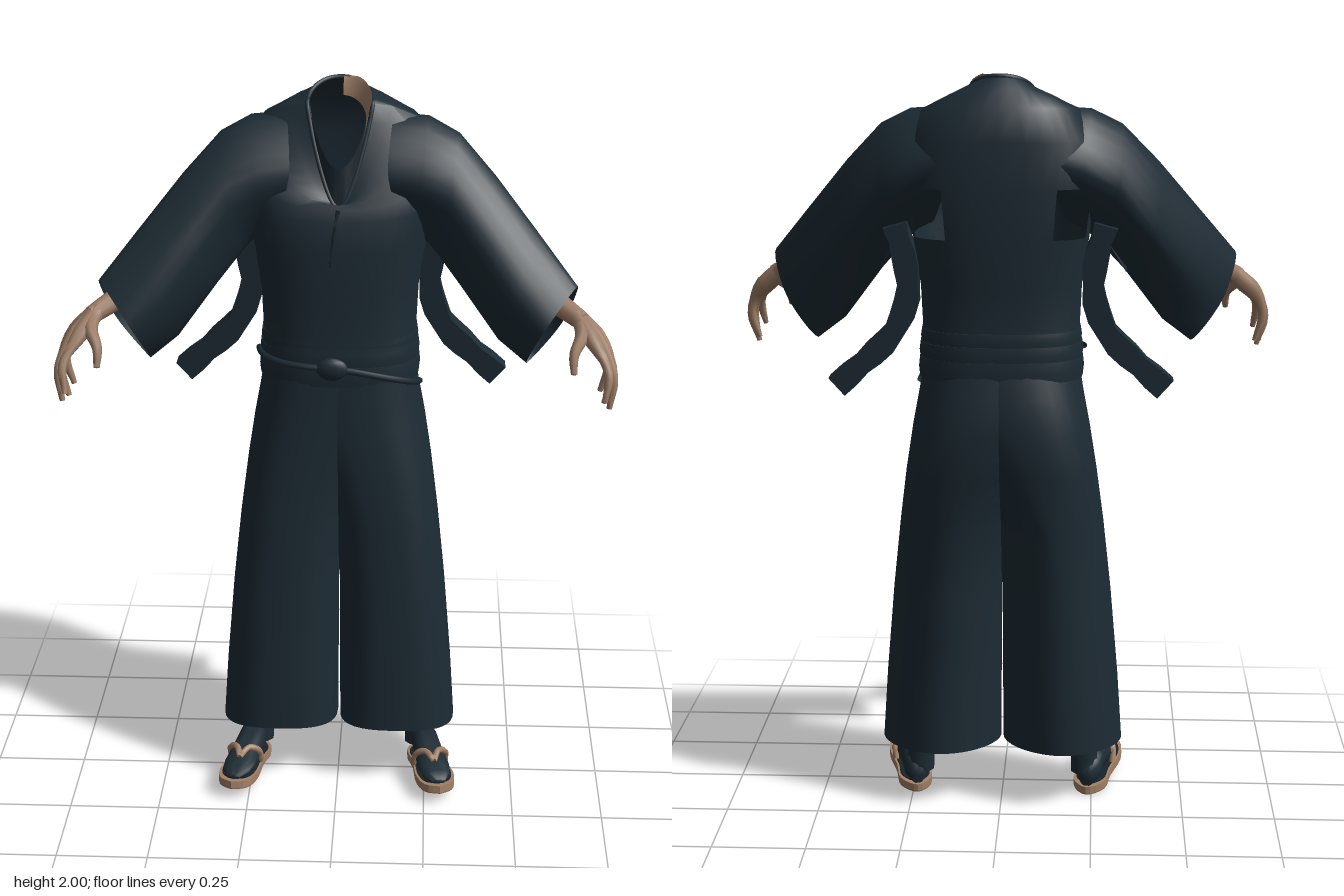
import * as THREE from 'three';
import { toCreasedNormals } from 'three/addons/utils/BufferGeometryUtils.js';

const material = (name, color) =>
  new THREE.MeshStandardMaterial({ name, color, side: THREE.DoubleSide });
const V = (x, y, z) => new THREE.Vector3(x, y, z);

// Skin a surface over rings of equal length; skip(i, j) leaves a hole
function loft(rings, { cap = false, skip = () => false, crease = 0.8, closed = true } = {}) {
  const n = rings[0].length, pos = [], index = [];
  rings.forEach(r => r.forEach(p => pos.push(p.x, p.y, p.z)));
  for (let i = 0; i < rings.length - 1; i++) {
    for (let j = 0; j < (closed ? n : n - 1); j++) {
      if (skip(i, j)) continue;
      const k = (j + 1) % n, a = i * n + j, b = i * n + k;
      index.push(a, a + n, b, b, a + n, b + n);
    }
  }
  if (cap) [0, rings.length - 1].forEach(e => {
    const c = rings[e].reduce((s, p) => s.add(p), V(0, 0, 0)).divideScalar(n);
    const id = pos.length / 3;
    pos.push(c.x, c.y, c.z);
    for (let j = 0; j < n; j++) {
      const a = e * n + j, b = e * n + (j + 1) % n;
      index.push(...(e ? [id, b, a] : [id, a, b]));
    }
  });
  const g = new THREE.BufferGeometry();
  g.setAttribute('position', new THREE.Float32BufferAttribute(pos, 3));
  g.setIndex(index);
  return toCreasedNormals(g, crease);
}

// Point on a rounded-square outline; p and back set the squareness of front and back,
// the front can dip and pinch into a V, the back can rise
const spow = (v, p) => Math.sign(v) * Math.abs(v) ** p;
function outline(a, { y, x = 0, rx, z, rz, dip = 0, rise = 0, pinch = 0, p = 0.75, back = p }) {
  const s = Math.sin(a), f = Math.max(0, s), b = Math.max(0, -s), e = s < 0 ? back : p;
  return V(x + rx * spow(Math.cos(a), e) * (1 - pinch * f), y - dip * f + rise * b, z + rz * spow(s, e));
}
const ring = (o, n = 36) =>
  Array.from({ length: n }, (_, j) => outline(j / n * Math.PI * 2, o));

// Round limb tapering along a curve
function limb(points, radii, sides = 10, steps = 12) {
  const curve = new THREE.CatmullRomCurve3(points.map(p => V(...p)));
  const f = curve.computeFrenetFrames(steps), rings = [];
  for (let i = 0; i <= steps; i++) {
    const u = i / steps * (radii.length - 1), k = Math.min(Math.floor(u), radii.length - 2);
    const r = THREE.MathUtils.lerp(radii[k], radii[k + 1], u - k), c = curve.getPoint(i / steps);
    rings.push(Array.from({ length: sides }, (_, j) => {
      const a = j / sides * Math.PI * 2;
      return c.clone().addScaledVector(f.normals[i], r * Math.cos(a))
        .addScaledVector(f.binormals[i], r * Math.sin(a));
    }));
  }
  return loft(rings, { cap: true, crease: 1.2 });
}

export function createModel() {
  const cloth = material('dark blue cloth', 0x1d2b34);
  const lining = material('shaded lining', 0x18232a);
  const skin = material('skin', 0x9c7c65);
  const straw = material('sandal straw', 0xa38166);
  const soleMat = material('sandal underside', 0x8a6b56);
  const model = new THREE.Group();
  model.name = 'robed figure';
  const add = (parent, name, geometry, mat) => {
    const m = new THREE.Mesh(geometry, mat);
    m.name = name;
    parent.add(m);
    return m;
  };

  // Robe body, with open slits below the armpits
  const rim = { y: 1.945, rx: 0.086, z: -0.1, rz: 0.1, dip: 0.255, rise: 0.049, pinch: 0.45, p: 0.95 };
  const body = [
    { y: 1.3, rx: 0.213, z: -0.11, rz: 0.155 },
    { y: 1.34, rx: 0.208, z: -0.11, rz: 0.152 },
    { y: 1.45, rx: 0.213, z: -0.114, rz: 0.156 },
    { y: 1.58, rx: 0.232, z: -0.12, rz: 0.163 },
    { y: 1.71, rx: 0.25, z: -0.125, rz: 0.16, dip: 0.05 },
    { y: 1.83, rx: 0.25, z: -0.13, rz: 0.152, dip: 0.14 },
    { y: 1.907, rx: 0.205, z: -0.126, rz: 0.142, dip: 0.205, rise: 0.01, pinch: 0.15, p: 0.85 },
    { y: 1.936, rx: 0.138, z: -0.114, rz: 0.122, dip: 0.24, rise: 0.028, pinch: 0.35, p: 0.9 },
    rim,
  ];
  add(model, 'robe body', loft(body.map(o => ring(o)), {
    skip: (i, j) => {
      const s = Math.sin((j + 0.5) / 36 * Math.PI * 2);
      return i === 3 && s < -0.4 && s > -0.82;
    },
  }), cloth);

  // Collar edge, inner collar layer and the overlap seam on the chest
  const rimCurve = new THREE.CatmullRomCurve3(ring(rim), true);
  add(model, 'collar', new THREE.TubeGeometry(rimCurve, 72, 0.006, 6, true), cloth);
  const inner = { ...rim, y: 1.935, rx: 0.078, rz: 0.085, dip: 0.145, rise: 0.045, pinch: 0.3 };
  add(model, 'inner collar', loft([rim, inner].map(o =>
    Array.from({ length: 19 }, (_, j) => outline(j / 18 * Math.PI, o))), { closed: false }), lining);
  add(model, 'overlap seam',
    limb([[0, 1.69, 0.024], [-0.012, 1.62, 0.038], [-0.02, 1.54, 0.042]], [0.006, 0.003], 6), lining);

  // Remnant of the neck along the inner left of the collar
  const strip = [[0.98, 0.012], [0.92, 0.0], [0.8, -0.045]].map(([k, dy]) =>
    Array.from({ length: 16 }, (_, j) => {
      const p = outline(-1.5 + j / 15 * 2.5, rim);
      return V(p.x * k, Math.min(p.y + dy, 1.998), rim.z + (p.z - rim.z) * k);
    }));
  add(model, 'neck remnant', loft(strip, { closed: false }), skin);

  // Wrapped waist sash
  [[1.295, 1.335, 0.214], [1.255, 1.3, 0.218], [1.205, 1.26, 0.22]].forEach(([y0, y1, r]) => {
    const at = (y, d) => ring({ y, rx: r - d, z: -0.112, rz: r - 0.058 - d });
    add(model, 'waist sash', loft([at(y0, 0.014), at(y0, 0.003), at((y0 + y1) / 2, 0),
      at(y1, 0.003), at(y1, 0.014)]), cloth);
  });
  // Cords crossing from the knot to the hips
  [[0.1, 1.18], [3.0, 1.275]].forEach(([a1, y1]) => {
    const pts = Array.from({ length: 10 }, (_, i) => {
      const t = i / 9;
      return outline(1.64 + (a1 - 1.64) * t,
        { y: 1.26 + (y1 - 1.26) * t, rx: 0.221, z: -0.112, rz: 0.162 });
    });
    add(model, 'sash cord', new THREE.TubeGeometry(new THREE.CatmullRomCurve3(pts), 30, 0.009, 6), cloth);
  });
  const knot = add(model, 'sash knot', new THREE.SphereGeometry(1, 12, 8), cloth);
  knot.position.set(-0.015, 1.258, 0.052);
  knot.scale.set(0.043, 0.032, 0.018);

  for (const side of [1, -1]) {
    const half = new THREE.Group();
    half.name = side > 0 ? 'left side' : 'right side';
    half.scale.x = side;
    model.add(half);

    // Wide trouser leg: y, inner x, outer x, back z, front z, front dip of the hem
    const leg = [
      [0.16, 0.003, 0.333, -0.22, 0.1, -0.018], [0.35, 0.002, 0.32, -0.226, 0.094],
      [0.6, 0.001, 0.298, -0.238, 0.083], [0.8, -0.015, 0.276, -0.256, 0.073],
      [0.95, -0.06, 0.256, -0.283, 0.064], [1.07, -0.12, 0.237, -0.296, 0.055],
      [1.16, -0.145, 0.22, -0.285, 0.048], [1.25, -0.15, 0.205, -0.265, 0.042],
    ];
    const legRings = leg.map(([y, x0, x1, z0, z1, dip]) => ring({
      y, dip, x: (x0 + x1) / 2, rx: (x1 - x0) / 2, z: (z0 + z1) / 2, rz: (z1 - z0) / 2,
      p: 0.74, back: y < 0.9 ? 1.1 : 0.85,
    }));
    add(half, 'trouser leg', loft(legRings), cloth);
    add(half, 'waist lining', loft([legRings[7], legRings[7].map(() => V(0, 1.25, -0.11))]), lining);

    // Sleeve: top, front, bottom and back of each section
    const sleeve = [
      [[0.14, 1.915, -0.14], [0.13, 1.77, 0.0], [0.18, 1.61, -0.11], [0.12, 1.78, -0.268]],
      [[0.235, 1.908, -0.132], [0.215, 1.755, 0.015], [0.22, 1.59, -0.09], [0.215, 1.755, -0.258]],
      [[0.315, 1.868, -0.11], [0.29, 1.72, 0.03], [0.26, 1.55, -0.07], [0.305, 1.71, -0.232]],
      [[0.412, 1.767, -0.055], [0.375, 1.61, 0.085], [0.325, 1.475, -0.02], [0.405, 1.59, -0.15]],
      [[0.53, 1.627, 0.015], [0.465, 1.49, 0.138], [0.43, 1.335, 0.01], [0.52, 1.46, -0.05]],
      [[0.628, 1.51, 0.08], [0.535, 1.405, 0.168], [0.508, 1.275, 0.02], [0.595, 1.39, 0.025]],
    ];
    add(half, 'sleeve', loft(sleeve.map(s =>
      new THREE.CatmullRomCurve3(s.map(p => V(...p)), true).getPoints(24).slice(0, 24))), cloth);
    // Torn flap under the sleeve
    add(half, 'sleeve flap', loft([
      [V(0.25, 1.66, -0.06), V(0.35, 1.58, -0.04)], [V(0.29, 1.54, -0.1), V(0.33, 1.47, -0.05)],
    ], { closed: false }), cloth);

    // Loose hanging strip beside the waist, narrowing to its end
    const path = new THREE.CatmullRomCurve3([V(0.275, 1.61, 0), V(0.25, 1.52, 0),
      V(0.245, 1.42, 0), V(0.285, 1.32, 0), V(0.355, 1.25, 0), V(0.435, 1.178, 0)]);
    add(half, 'hanging strip', loft(Array.from({ length: 13 }, (_, i) => {
      const c = path.getPoint(i / 12), t = path.getTangent(i / 12);
      const w = 0.032 - 0.005 * (i % 3 === 1), d = 0.042 - 0.014 * i / 12;
      return [[1, d], [1, -d], [-1, -d], [-1, d]].map(([s, z]) =>
        V(c.x - t.y * w * s, c.y + t.x * w * s, z - 0.16));
    }), { cap: true, crease: 0.6 }), cloth);

    // Hand: wrist inside the cuff, then fingers fanning out from it
    add(half, 'wrist', limb([[0.535, 1.485, 0.06], [0.588, 1.46, 0.098], [0.64, 1.435, 0.145]],
      [0.03, 0.029, 0.024]), skin);
    const fingers = [
      [[0.672, 1.39, 0.21], [0.703, 1.335, 0.262], [0.695, 1.268, 0.288]],
      [[0.688, 1.383, 0.192], [0.718, 1.318, 0.235], [0.71, 1.235, 0.25]],
      [[0.694, 1.38, 0.17], [0.72, 1.312, 0.195], [0.7, 1.232, 0.202]],
      [[0.688, 1.385, 0.148], [0.712, 1.325, 0.158], [0.692, 1.25, 0.16]],
    ];
    fingers.forEach(f => add(half, 'finger',
      limb([[0.625, 1.445, 0.13], ...f], [0.024, 0.023, 0.013, 0.012, 0.007], 8), skin));
    add(half, 'thumb', limb([[0.632, 1.44, 0.135], [0.637, 1.412, 0.19], [0.615, 1.375, 0.235],
      [0.615, 1.33, 0.258]], [0.021, 0.019, 0.013, 0.008], 8), skin);

    // Shin, foot and sandal
    add(half, 'shin', limb([[0.2, 0.6, -0.09], [0.22, 0.3, -0.075], [0.232, 0.06, -0.06]],
      [0.055, 0.05, 0.034, 0.04]), cloth);
    const foot = new THREE.Group();
    foot.name = 'foot';
    foot.position.set(0.266, 0.019, 0.046);
    foot.rotation.set(-0.11, 0.2, 0, 'YXZ');
    half.add(foot);
    const footRing = (z, w, h) => Array.from({ length: 14 }, (_, j) => {
      const a = j / 14 * Math.PI * 2;
      return V(w * Math.cos(a), 0.02 + h * (0.5 + 0.5 * Math.sin(a)), z);
    });
    add(foot, 'sock', loft([[-0.145, 0.02, 0.05], [-0.12, 0.036, 0.08], [-0.07, 0.038, 0.095],
      [0, 0.042, 0.066], [0.06, 0.046, 0.044], [0.11, 0.04, 0.03], [0.137, 0.02, 0.016],
    ].map(r => footRing(...r)), { cap: true, crease: 1.2 }), cloth);

    const print = k => new THREE.Shape(new THREE.SplineCurve(
      [[0, 0.158], [0.04, 0.135], [0.056, 0.07], [0.046, -0.03], [0.044, -0.11], [0, -0.155],
        [-0.044, -0.11], [-0.044, -0.03], [-0.053, 0.07], [-0.04, 0.135], [0, 0.158]]
        .map(([x, y]) => new THREE.Vector2(x * k, y * k))).getPoints(40));
    const slab = (k, depth, top) => new THREE.ExtrudeGeometry(print(k), { depth, bevelEnabled: false })
      .rotateX(Math.PI / 2).translate(0, top, 0);
    add(foot, 'sandal sole', slab(1, 0.02, 0.022), straw);
    add(foot, 'insole', slab(0.88, 0.003, 0.025), lining);
    add(foot, 'sole underside', slab(0.99, 0.003, 0.001), soleMat);
    // Thong straps meeting between the toes
    [1, -1].forEach(s => add(foot, 'sandal strap', limb([[s * 0.046, 0.025, 0.0],
      [s * 0.042, 0.066, 0.022], [s * 0.018, 0.08, 0.042], [0, 0.062, 0.07]],
      [0.009, 0.009], 6), straw));
  }
  return model;
}
